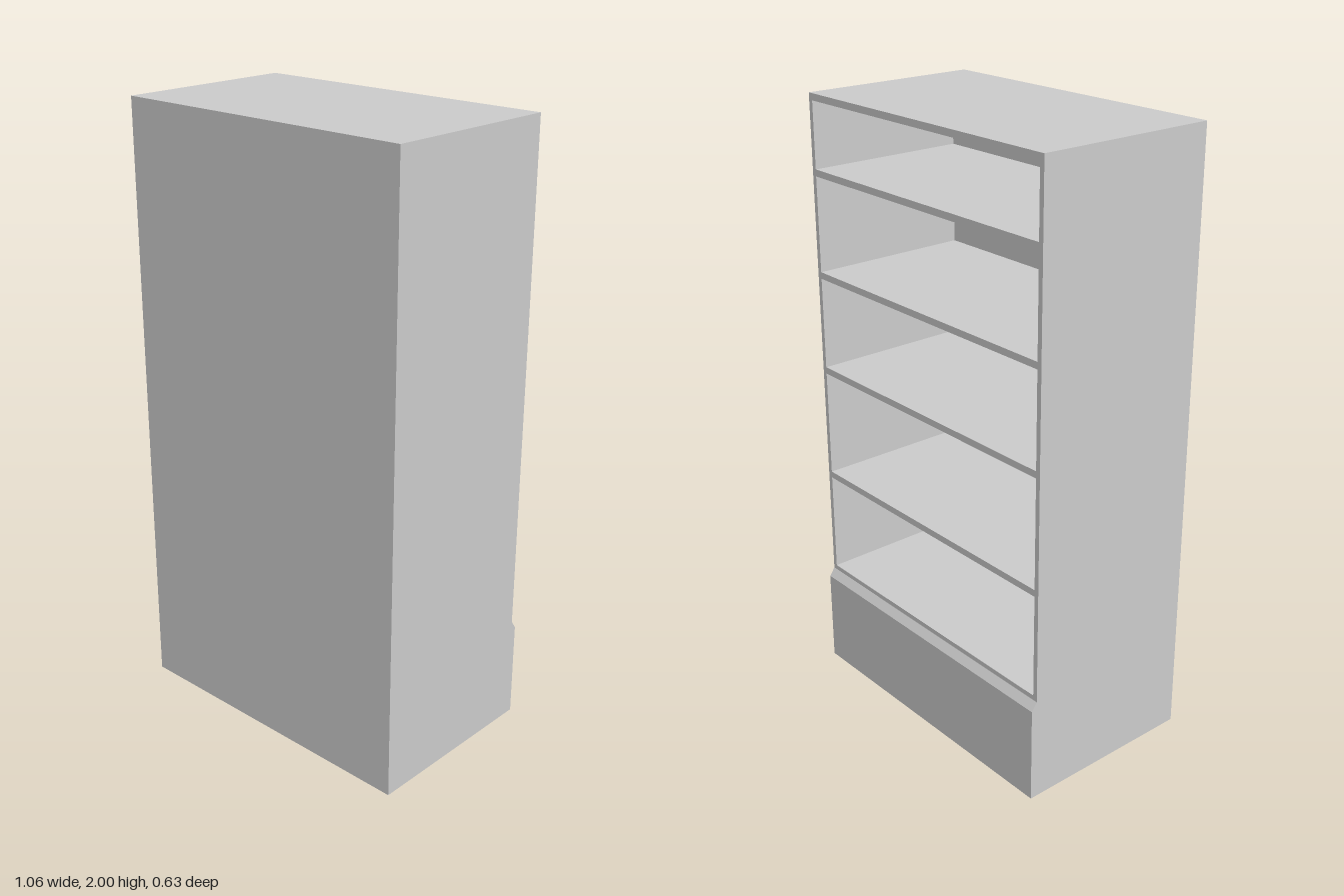
import * as THREE from 'three';

const W = 1.06;          // overall width
const H = 2;             // overall height
const FRONT = 0.314;     // outer face of the closed front
const BACK = -0.295;     // open face of the shelves
const INNER = 0.252;     // inner face of the closed front
const FLOOR = 0.363;     // top of the plinth
const SIDE = 0.016;      // side wall thickness
const BOARD = 0.022;     // shelf thickness

export function createModel() {
  const group = new THREE.Group();
  const material = new THREE.MeshStandardMaterial({ color: 0xcccccc });

  const add = (name, geometry) => {
    const mesh = new THREE.Mesh(geometry, material);
    mesh.name = name;
    group.add(mesh);
    return mesh;
  };

  // Box given by its limits on each axis
  const board = (name, x0, x1, y0, y1, z0, z1) =>
    add(name, new THREE.BoxGeometry(x1 - x0, y1 - y0, z1 - z0))
      .position.set((x0 + x1) / 2, (y0 + y1) / 2, (z0 + z1) / 2);

  // Plinth: side profile (z, y) with a bevelled step, extruded across the width
  const profile = new THREE.Shape([
    [-FRONT, 0], [FRONT, 0], [FRONT, FLOOR], [BACK, FLOOR], [BACK, 0.347], [-FRONT, 0.32],
  ].map(([z, y]) => new THREE.Vector2(-z, y)));
  const plinth = new THREE.ExtrudeGeometry(profile, { depth: W, bevelEnabled: false });
  plinth.translate(0, 0, -W / 2).rotateY(Math.PI / 2);
  add('plinth', plinth);

  // Carcass: side walls, closed front and top
  const inX = W / 2 - SIDE;
  board('leftWall', inX, W / 2, FLOOR, H, BACK, FRONT);
  board('rightWall', -W / 2, -inX, FLOOR, H, BACK, FRONT);
  board('frontPanel', -inX, inX, FLOOR, H, INNER, FRONT);
  board('topBoard', -inX, inX, H - BOARD, H, BACK, INNER);

  // Shelves, given by the height of their upper faces
  [0.727, 1.108, 1.434, 1.766].forEach((y, i) =>
    board(`shelf${i + 1}`, -inX, inX, y - BOARD, y, BACK, INNER));

  return group;
}
